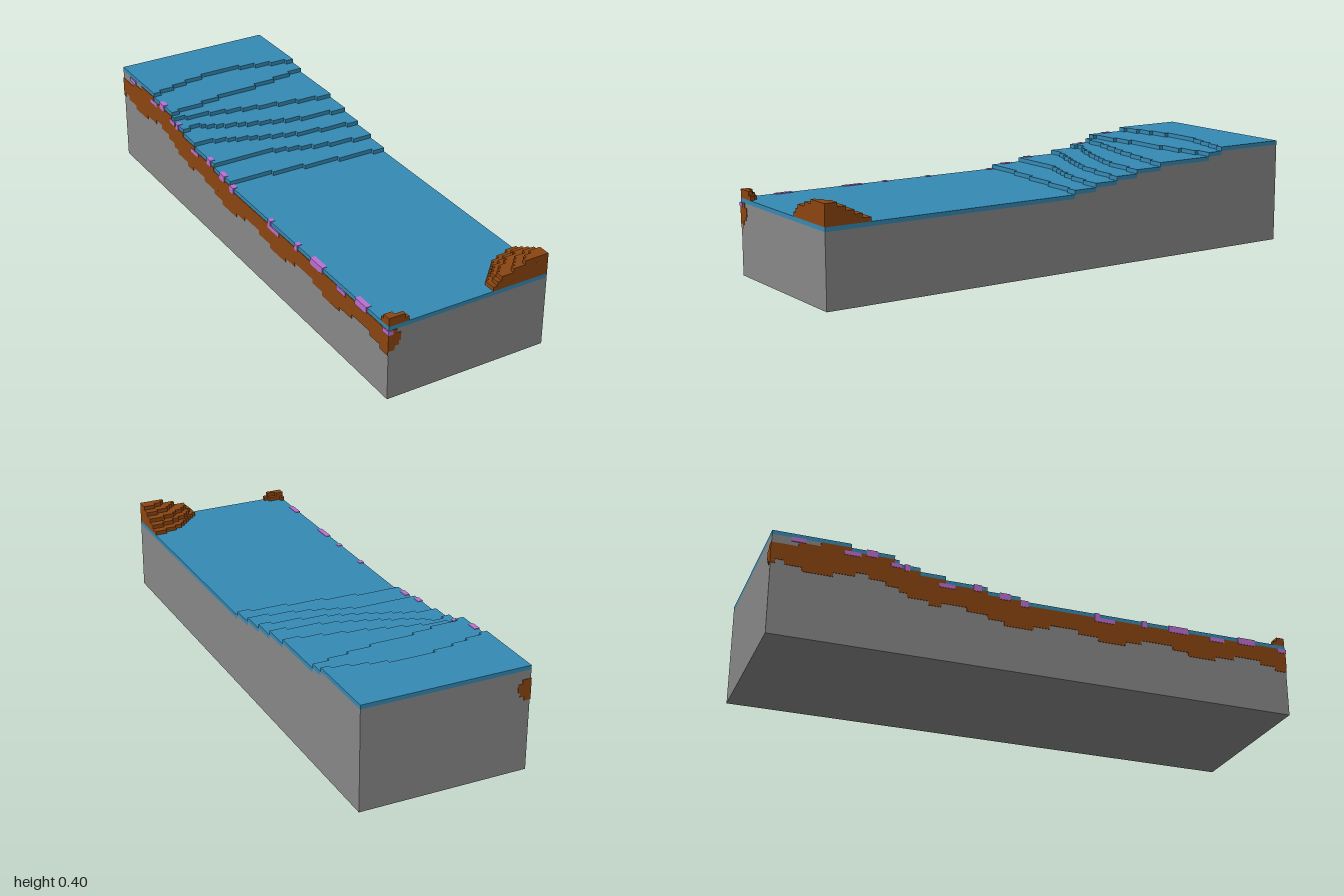
import * as THREE from 'three';
import { mergeGeometries } from 'three/addons/utils/BufferGeometryUtils.js';

const V = 2 / 126;          // block size
const NX = 40;              // blocks across
const HX = NX * V / 2;      // half width
const snap = z => -1 + Math.round((z + 1) / V) * V;

// Step lines across the slope: pairs of x, z
const CONTOURS = [
  [-0.32, -0.085, -0.19, -0.08, -0.11, -0.065, 0.05, -0.05, 0.2, -0.03, 0.32, -0.02],
  [-0.32, -0.21, -0.09, -0.21, 0, -0.175, 0.1, -0.145, 0.2, -0.125, 0.32, -0.105],
  [-0.32, -0.37, -0.25, -0.365, -0.18, -0.335, -0.05, -0.285, 0.08, -0.24, 0.2, -0.225, 0.32, -0.205],
  [-0.32, -0.46, -0.25, -0.475, -0.18, -0.43, -0.1, -0.4, 0, -0.36, 0.1, -0.33, 0.32, -0.3],
  [-0.32, -0.54, -0.22, -0.525, -0.07, -0.49, 0.1, -0.45, 0.2, -0.43, 0.32, -0.41],
  [-0.32, -0.56, -0.2, -0.575, -0.07, -0.6, 0.08, -0.61, 0.2, -0.63, 0.32, -0.655],
  [-0.32, -0.715, -0.22, -0.74, -0.12, -0.765, 0, -0.78, 0.08, -0.775, 0.16, -0.755, 0.32, -0.715],
];

function contourAt(level, x) {
  if (level === 0) return 1;
  if (level > CONTOURS.length) return -1;
  const c = CONTOURS[level - 1];
  for (let i = 0; i < c.length - 2; i += 2) {
    if (x <= c[i + 2]) {
      const t = (x - c[i]) / (c[i + 2] - c[i]);
      return snap(c[i + 1] + t * (c[i + 3] - c[i + 1]));
    }
  }
  return snap(c[c.length - 1]);
}

// Ground height in blocks at a point
function groundAt(x, z) {
  let h = 18;
  for (let k = 1; k <= 7; k++) if (z < contourAt(k, x)) h++;
  return h;
}

// One block-high slab lying between two stepped lines
function slab(level, backLevel, frontLevel) {
  const back = [], front = [];
  const add = (list, x, z) => {
    const n = list.length;
    if (n > 1 && list[n - 1].y === -z && list[n - 2].y === -z) list.pop();
    list.push(new THREE.Vector2(x, -z));
  };
  for (let i = 0; i < NX; i++) {
    const x = -HX + i * V;
    for (const edge of [x, x + V]) {
      add(back, edge, contourAt(backLevel, x + V / 2));
      add(front, edge, contourAt(frontLevel, x + V / 2));
    }
  }
  const tidy = list => list.filter((p, i) => i === 0 || !p.equals(list[i - 1]));
  const shape = new THREE.Shape([...tidy(front), ...tidy(back).reverse()]);
  const g = new THREE.ExtrudeGeometry(shape, { depth: V, bevelEnabled: false });
  g.rotateX(-Math.PI / 2);
  g.translate(0, (17 + level) * V, 0);
  return g;
}

function block(x0, x1, y0, y1, z0, z1) {
  return new THREE.BoxGeometry(x1 - x0, y1 - y0, z1 - z0)
    .translate((x0 + x1) / 2, (y0 + y1) / 2, (z0 + z1) / 2);
}

export function createModel() {
  const group = new THREE.Group();
  const material = (name, color) => Object.assign(new THREE.MeshStandardMaterial({ color }), { name });
  const stone = material('stone grey', 0x888888);
  const water = material('water blue', 0x3589b3);
  const earth = material('earth brown', 0x8b4510);
  const crystal = material('crystal violet', 0xbb6fd0);
  const add = (name, geometries, mat) => {
    const mesh = new THREE.Mesh(mergeGeometries(geometries), mat);
    mesh.name = name;
    group.add(mesh);
  };

  // Stone bed, stepped under the water
  add('stoneBase', [block(-HX, HX, 0, 17 * V, -1, 1)], stone);
  const bed = [], surface = [];
  for (let k = 0; k <= 7; k++) {
    if (k < 7) bed.push(slab(k, 8, k + 1));
    surface.push(slab(k, k + 1, k));
  }
  add('stoneSteps', bed, stone);
  add('waterSurface', surface, water);

  // Front mounds: [side, layers of width and depth in blocks]
  const mounds = [
    ['rightMound', -1, [[5, 2.6], [4, 2]]],
    ['leftMound', 1, [[14, 11], [13, 9], [12, 7], [9, 5], [6, 3]]],
  ];
  for (const [name, side, layers] of mounds) {
    const parts = [];
    layers.forEach(([w, d], k) => {
      for (let i = 0; i < w; i++) {
        const depth = Math.max(1, Math.round(d * (1 - ((i + 0.3) / w) ** 1.7) ** (1 / 1.7))) * V;
        const a = side * (HX - i * V), b = side * (HX - (i + 1) * V);
        parts.push(block(Math.min(a, b), Math.max(a, b), (18 + k) * V, (19 + k) * V, 1 - depth, 1));
      }
    });
    add(name, parts, earth);
  }

  // Wavy earth vein along the right side
  const out = 0.002, vein = [];
  for (let i = 0; i < 126; i++) {
    const z = -1 + i * V, m = z + V / 2;
    const fall = THREE.MathUtils.smoothstep(m, -0.75, -0.15);
    const bottom = Math.round(17 - 5 * fall + 0.9 * Math.sin(m * 17));
    const top = Math.min(groundAt(-HX + V / 2, m) - 1, 22 + Math.max(0, Math.round((m + 0.95) * 12)));
    vein.push(block(-HX - out, -HX + V, bottom * V, top * V, z, z + V));
  }
  // Rounded vein ends: widths in half blocks, from the bottom up
  [3, 5, 6, 6, 4].forEach((w, k) => {
    const x1 = -HX + w * V / 2;
    vein.push(block(-HX - out, x1, (12 + k) * V, (13 + k) * V, 1 - V, 1 + out));
    vein.push(block(-HX - out, x1, (17 + k) * V, (18 + k) * V, -1 - out, -1 + V));
  });
  add('earthVein', vein, earth);

  // Crystals along the vein: [z start, z end, shows on top]
  const crystals = [
    [-0.93, -0.88, 0], [-0.74, -0.68, 0], [-0.66, -0.62, 1], [-0.57, -0.53, 0], [-0.52, -0.5, 1],
    [-0.39, -0.33, 0], [-0.26, -0.23, 1], [-0.16, -0.12, 1], [-0.08, -0.05, 1], [0.21, 0.23, 1],
    [0.21, 0.29, 0], [0.4, 0.42, 1], [0.51, 0.59, 1], [0.68, 0.74, 0], [0.8, 0.87, 1],
  ].map(([z0, z1, top]) => {
    const h = groundAt(-HX + V / 2, (z0 + z1) / 2) * V;
    return top
      ? block(-HX - 0.004, -HX + V, h - 1.5 * V, h + out, z0, z1)
      : block(-HX - 0.004, -HX + V, h - 2 * V, h - V, z0, z1);
  });
  crystals.push(block(-HX - 0.004, -HX + V, 16 * V, 17 * V, 1 - 2 * V, 1 + 0.004));
  add('crystals', crystals, crystal);

  return group;
}
